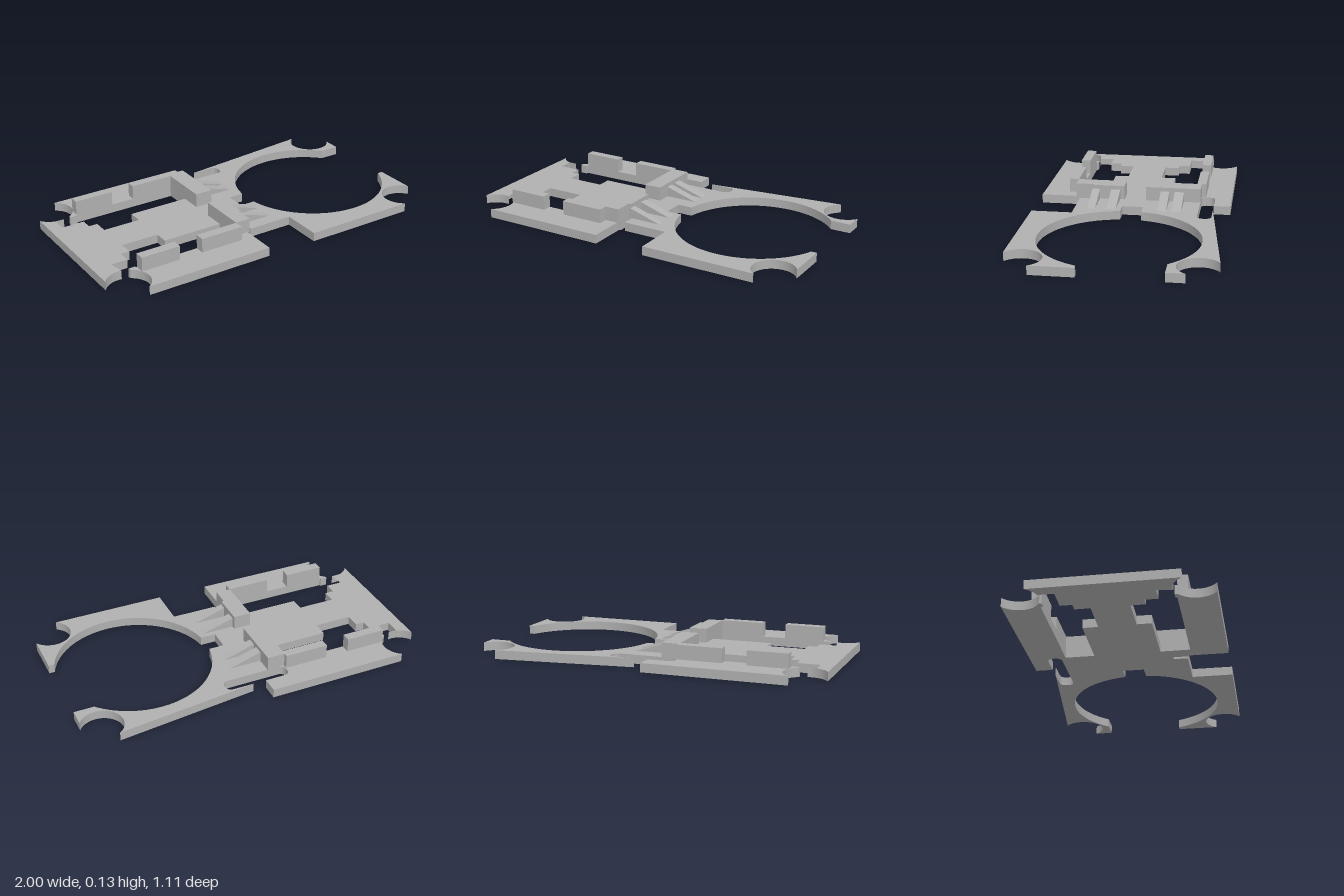
import * as THREE from 'three';
import { toCreasedNormals } from 'three/addons/utils/BufferGeometryUtils.js';

const PLATE = 0.05, TOP = 0.13;
const grey = new THREE.MeshStandardMaterial({ color: 0xb0b0b0 });
grey.name = 'plain grey';

function add(group, name, geometry) {
  const mesh = new THREE.Mesh(geometry, grey);
  mesh.name = name;
  group.add(mesh);
}

// Upright block given by its x and z limits, standing on the plate
function block(group, name, x0, x1, z0, z1) {
  const g = new THREE.BoxGeometry(x1 - x0, TOP - PLATE, z1 - z0);
  g.translate((x0 + x1) / 2, (TOP + PLATE) / 2, (z0 + z1) / 2);
  add(group, name, g);
}

// Plate outline drawn in x and z, as one continuous loop
function plateOutline() {
  const s = new THREE.Shape();
  const lines = (...p) => p.forEach(([x, z]) => s.lineTo(x, z));
  const arc = (cx, cz, r, [x0, z0], [x1, z1]) =>
    s.absarc(cx, cz, r, Math.atan2(z0 - cz, x0 - cx), Math.atan2(z1 - cz, x1 - cx), true);
  const R = 0.117, B = 0.437;

  // back right arm, corner cut-out and the large round opening
  s.moveTo(0.04, -0.555);
  arc(0.9, -0.455, R, [0.835, -0.555], [1, -0.395]);
  lines([1, -0.395], [1, -0.295], [0.885, -0.295]);
  arc(0.56, -0.005, B, [0.885, -0.295], [0.12, -0.065]);
  lines([0.04, -0.065], [0.04, 0.055], [0.12, 0.055]);
  arc(0.56, -0.005, B, [0.12, 0.055], [0.965, 0.15]);
  lines([1, 0.15], [1, 0.39]);
  arc(0.9, 0.45, R, [1, 0.39], [0.835, 0.55]);

  // front edge with its wide notch
  lines([0.185, 0.55], [0.185, 0.32], [-0.075, 0.32], [-0.075, 0.24], [-0.1, 0.24],
    [-0.1, 0.325], [-0.11, 0.325], [-0.11, 0.55]);
  arc(-0.9, 0.45, R, [-0.835, 0.55], [-0.84, 0.355]);

  // front window
  lines([-0.84, 0.335], [-0.8, 0.335], [-0.8, 0.345], [-0.185, 0.345], [-0.185, 0.18],
    [-0.535, 0.18], [-0.535, 0.1], [-0.75, 0.1], [-0.75, 0.18], [-0.8, 0.18],
    [-0.8, 0.25], [-0.93, 0.25], [-0.93, 0.338]);
  arc(-0.9, 0.45, R, [-0.88, 0.335], [-1, 0.39]);

  // end tab and back window
  arc(-0.9, -0.455, R, [-1, -0.395], [-0.88, -0.34]);
  lines([-0.93, -0.343], [-0.93, -0.255], [-0.8, -0.255], [-0.8, -0.19], [-0.75, -0.19],
    [-0.75, -0.105], [-0.535, -0.105], [-0.535, -0.19], [-0.185, -0.19], [-0.185, -0.353],
    [-0.8, -0.353], [-0.8, -0.34], [-0.84, -0.34]);
  arc(-0.9, -0.455, R, [-0.84, -0.355], [-0.835, -0.555]);

  // T-shaped slot in the back edge
  lines([-0.035, -0.555], [-0.035, -0.46], [-0.145, -0.46]);
  s.quadraticCurveTo(-0.182, -0.46, -0.182, -0.42);
  s.quadraticCurveTo(-0.182, -0.38, -0.145, -0.38);
  s.lineTo(0.155, -0.38);
  s.quadraticCurveTo(0.192, -0.38, 0.192, -0.42);
  s.quadraticCurveTo(0.192, -0.46, 0.155, -0.46);
  s.lineTo(0.04, -0.46);
  s.closePath();
  return s;
}

export function createModel() {
  const group = new THREE.Group();
  group.name = 'mountingPlate';

  const plate = new THREE.ExtrudeGeometry(plateOutline(), {
    depth: PLATE, bevelEnabled: false, curveSegments: 32,
  });
  plate.rotateX(Math.PI / 2).translate(0, PLATE, 0);
  add(group, 'basePlate', toCreasedNormals(plate, 0.4));

  // Rails beside the windows
  for (const [side, z0, z1] of [['front', 0.345, 0.4], ['back', -0.405, -0.353]]) {
    block(group, side + 'OuterRail', -0.795, -0.57, z0, z1);
    block(group, side + 'InnerRail', -0.435, -0.185, z0, z1);
  }

  // Cross walls
  block(group, 'backWall', -0.185, -0.085, -0.38, -0.065);
  block(group, 'frontWall', -0.185, -0.085, 0.06, 0.24);
  block(group, 'frontWallEnd', -0.185, -0.1, 0.24, 0.345);

  // Sloping ribs that brace the walls
  const wedge = new THREE.Shape([[-0.087, PLATE], [0.1, PLATE], [-0.087, 0.108]]
    .map(([x, y]) => new THREE.Vector2(x, y)));
  for (const [z0, z1] of [[-0.285, -0.23], [-0.2, -0.15], [0.085, 0.138], [0.203, 0.248]]) {
    const rib = new THREE.ExtrudeGeometry(wedge, { depth: z1 - z0, bevelEnabled: false });
    rib.translate(0, 0, z0);
    add(group, 'braceRib', rib);
  }

  // Centre the plate on z
  group.children.forEach((m) => { m.position.z = 0.0025; });
  return group;
}
